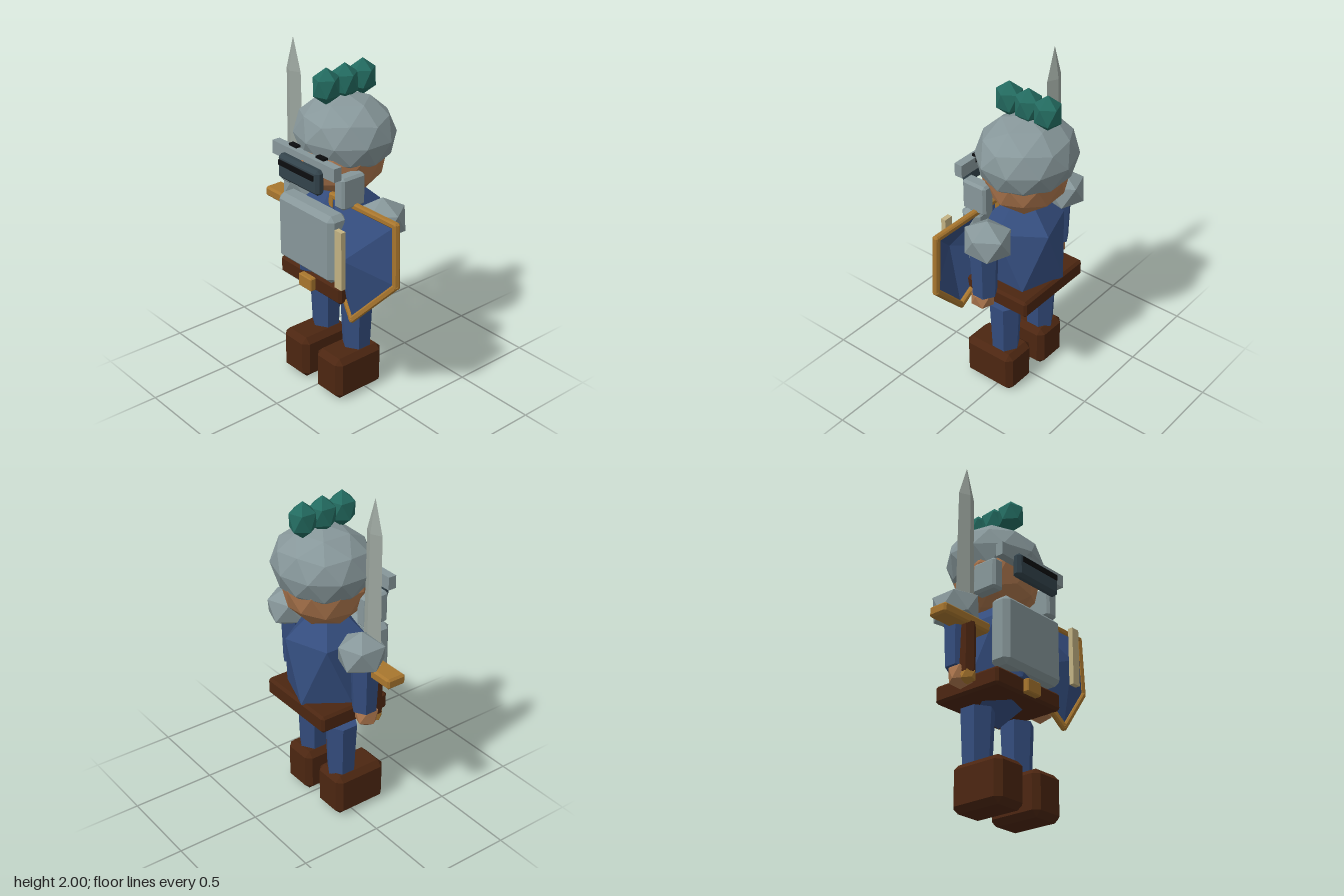
import * as THREE from 'three';
import { ConvexGeometry } from 'three/addons/geometries/ConvexGeometry.js';

const CX = -0.035; // body centre line

function material(name, color) {
  const m = new THREE.MeshStandardMaterial({ color, flatShading: true });
  m.name = name;
  return m;
}

// Box with chamfered edges, centred on the origin
function chamferBox(w, h, d, b) {
  const pts = [];
  for (const x of [-1, 1]) for (const y of [-1, 1]) for (const z of [-1, 1]) {
    const X = w / 2, Y = h / 2, Z = d / 2;
    pts.push(
      new THREE.Vector3(x * X, y * (Y - b), z * (Z - b)),
      new THREE.Vector3(x * (X - b), y * Y, z * (Z - b)),
      new THREE.Vector3(x * (X - b), y * (Y - b), z * Z));
  }
  return new ConvexGeometry(pts);
}

// Faceted ball with a vertex at each pole
function facetBall(rx, ry, rz, detail = 0) {
  const g = new THREE.IcosahedronGeometry(1, detail);
  g.rotateX(-Math.atan((1 + Math.sqrt(5)) / 2));
  g.rotateY(Math.PI / 2);
  g.scale(rx, ry, rz);
  g.computeVertexNormals();
  return g;
}

export function createModel() {
  const root = new THREE.Group();
  root.name = 'knight';

  const steel = material('steel', 0x87979a);
  const bladeSteel = material('blade steel', 0x9ca69f);
  const blue = material('blue cloth', 0x344d7e);
  const brown = material('brown leather', 0x4c2611);
  const gold = material('gold', 0xa8762e);
  const skin = material('skin', 0xac764d);
  const teal = material('teal plume', 0x236b60);
  const slate = material('dark slate', 0x33434b);
  const black = material('black', 0x0c0d0f);
  const cream = material('cream', 0xc2b283);
  const shieldBlue = blue;

  const add = (name, geo, mat, x, y, z) => {
    const m = new THREE.Mesh(geo, mat);
    m.name = name;
    m.position.set(x, y, z);
    root.add(m);
    return m;
  };
  // Box given by its limits on each axis
  const addBox = (name, mat, [x0, x1], [y0, y1], [z0, z1], bevel = 0) => {
    const s = [x1 - x0, y1 - y0, z1 - z0];
    const geo = bevel ? chamferBox(...s, bevel) : new THREE.BoxGeometry(...s);
    return add(name, geo, mat, (x0 + x1) / 2, (y0 + y1) / 2, (z0 + z1) / 2);
  };

  // Torso, chest plate and belt
  add('torso', facetBall(0.26, 0.4, 0.276), blue, CX, 0.915, -0.005);
  addBox('chestPlate', steel, [-0.27, 0.2], [0.765, 1.17], [0.13, 0.26], 0.03);
  addBox('belt', brown, [-0.3, 0.23], [0.64, 0.745], [-0.235, 0.22], 0.015);
  addBox('buckle', gold, [-0.09, 0.02], [0.65, 0.73], [0.2, 0.255], 0.006);

  // Head, helmet and nose
  add('head', facetBall(0.25, 0.255, 0.25, 1), skin, CX, 1.425, -0.02);
  add('helmet', facetBall(0.298, 0.225, 0.275, 1), steel, CX + 0.005, 1.53, -0.037);
  add('nose', facetBall(0.035, 0.035, 0.035), skin, CX, 1.415, 0.24);

  // Face guard: brow band, visor with slit, cheek guards, eyes
  addBox('browBand', steel, [-0.298, 0.228], [1.395, 1.472], [0.206, 0.256]);
  addBox('visor', slate, [-0.206, 0.138], [1.29, 1.435], [0.24, 0.298], 0.018);
  addBox('visorSlit', black, [-0.182, 0.113], [1.378, 1.408], [0.301, 0.309]);
  for (const s of [-1, 1]) {
    add('cheekGuard', chamferBox(0.08, 0.185, 0.16, 0.014), steel, CX + s * 0.232, 1.305, 0.122);
    add('eye', new THREE.BoxGeometry(0.065, 0.045, 0.03), black, CX + s * 0.115, 1.462, 0.217);
  }

  // Plume
  for (const z of [-0.167, -0.04, 0.088])
    add('plumeTuft', facetBall(0.08, 0.105, 0.085), teal, CX, 1.815, z);

  // Arms and legs
  for (const s of [-1, 1]) {
    const armX = CX + s * 0.33, legX = CX + s * 0.15;
    add('shoulderPad', facetBall(0.14, 0.13, 0.15), steel, armX, 1.122, -0.025);
    add('arm', new THREE.CylinderGeometry(0.085, 0.072, 0.32, 6), blue, armX, 0.92, 0);
    add('hand', facetBall(0.072, 0.08, 0.075), skin, armX, 0.717, 0.018);
    add('leg', new THREE.CylinderGeometry(0.098, 0.083, 0.33, 6), blue, legX, 0.415, s > 0 ? 0 : -0.02);
    add('boot', chamferBox(0.218, 0.265, 0.34, 0.033), brown, legX, 0.1325, 0.055);
  }

  // Sword
  const SX = -0.367, SZ = 0.045;
  const blade = new THREE.CylinderGeometry(0.062, 0.075, 0.78, 4);
  const tip = new THREE.ConeGeometry(0.062, 0.19, 4);
  for (const g of [blade, tip]) g.scale(1, 1, 0.48);
  add('blade', blade, bladeSteel, SX, 1.42, SZ);
  add('bladeTip', tip, bladeSteel, SX, 1.905, SZ);
  addBox('crossGuard', gold, [-0.582, -0.152], [0.988, 1.05], [-0.015, 0.105], 0.012);
  add('grip', new THREE.CylinderGeometry(0.045, 0.045, 0.29, 6), brown, SX, 0.86, 0.07);
  add('pommel', facetBall(0.05, 0.05, 0.05), gold, SX, 0.7, 0.07);

  // Shield: five-cornered face rising to a central point, with a rim
  const apex = new THREE.Vector3(0.295, 0.96, 0.255);
  const corners = [
    [0.04, 1.215, 0.11], [0.025, 0.87, 0.115], [0.295, 0.575, 0.185],
    [0.565, 0.87, 0.115], [0.55, 1.22, 0.11],
  ].map((p) => new THREE.Vector3(...p));
  const tris = [];
  corners.forEach((a, i) => tris.push(apex, a, corners[(i + 1) % corners.length]));
  const face = new THREE.BufferGeometry().setFromPoints(tris);
  face.computeVertexNormals();
  shieldBlue.side = THREE.DoubleSide;
  add('shieldFace', face, shieldBlue, 0, 0, 0);
  corners.forEach((a, i) => {
    const b = corners[(i + 1) % corners.length];
    const mid = a.clone().add(b).multiplyScalar(0.5);
    const bar = add('shieldRim', chamferBox(0.036, 0.036, a.distanceTo(b) + 0.03, 0.008), gold, mid.x, mid.y, mid.z);
    bar.lookAt(b);
  });
  addBox('shieldStripe', cream, [0.265, 0.32], [0.8, 1.145], [0.256, 0.286]);

  return root;
}
